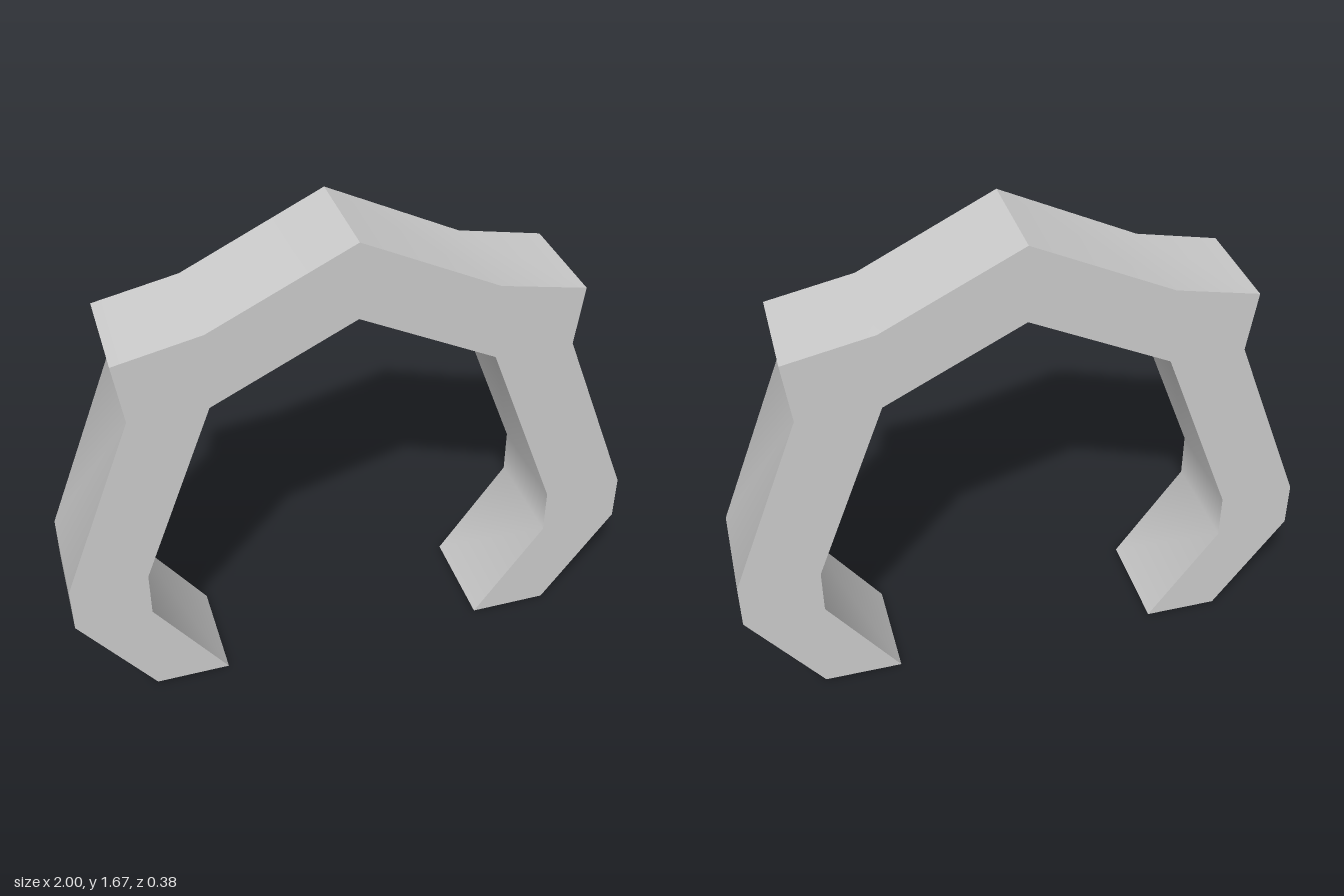
import * as THREE from 'three';
import { toCreasedNormals } from 'three/addons/utils/BufferGeometryUtils.js';

const DEPTH = 0.375;

export function createModel() {
  const group = new THREE.Group();
  group.name = 'openClasp';

  // Outline, counter-clockwise from the left foot
  const outer = [
    [0.47, 0], [0.745, 0], [1, 0.35], [1, 0.515], [0.745, 1.165],
    [0.77, 1.375], [0.47, 1.435], [0, 1.668],
    [-0.485, 1.435], [-0.775, 1.375], [-0.745, 1.165],
    [-1, 0.515], [-1, 0.35], [-0.745, 0], [-0.485, 0],
  ];
  const inner = [
    [-0.735, 0.35], [-0.735, 0.515], [-0.485, 1.165], [0, 1.4],
    [0.47, 1.165], [0.72, 0.515], [0.72, 0.35],
  ];
  const shape = new THREE.Shape([...outer, ...inner].map(([x, y]) => new THREE.Vector2(x, y)));

  // Extruded band, shallow bends smooth and sharp corners creased
  const band = new THREE.ExtrudeGeometry(shape, { depth: DEPTH, bevelEnabled: false });
  band.translate(0, 0, -DEPTH / 2);
  const mesh = new THREE.Mesh(
    toCreasedNormals(band, THREE.MathUtils.degToRad(40)),
    new THREE.MeshStandardMaterial({ color: 0xcccccc }),
  );
  mesh.name = 'angularBand';
  group.add(mesh);
  return group;
}
